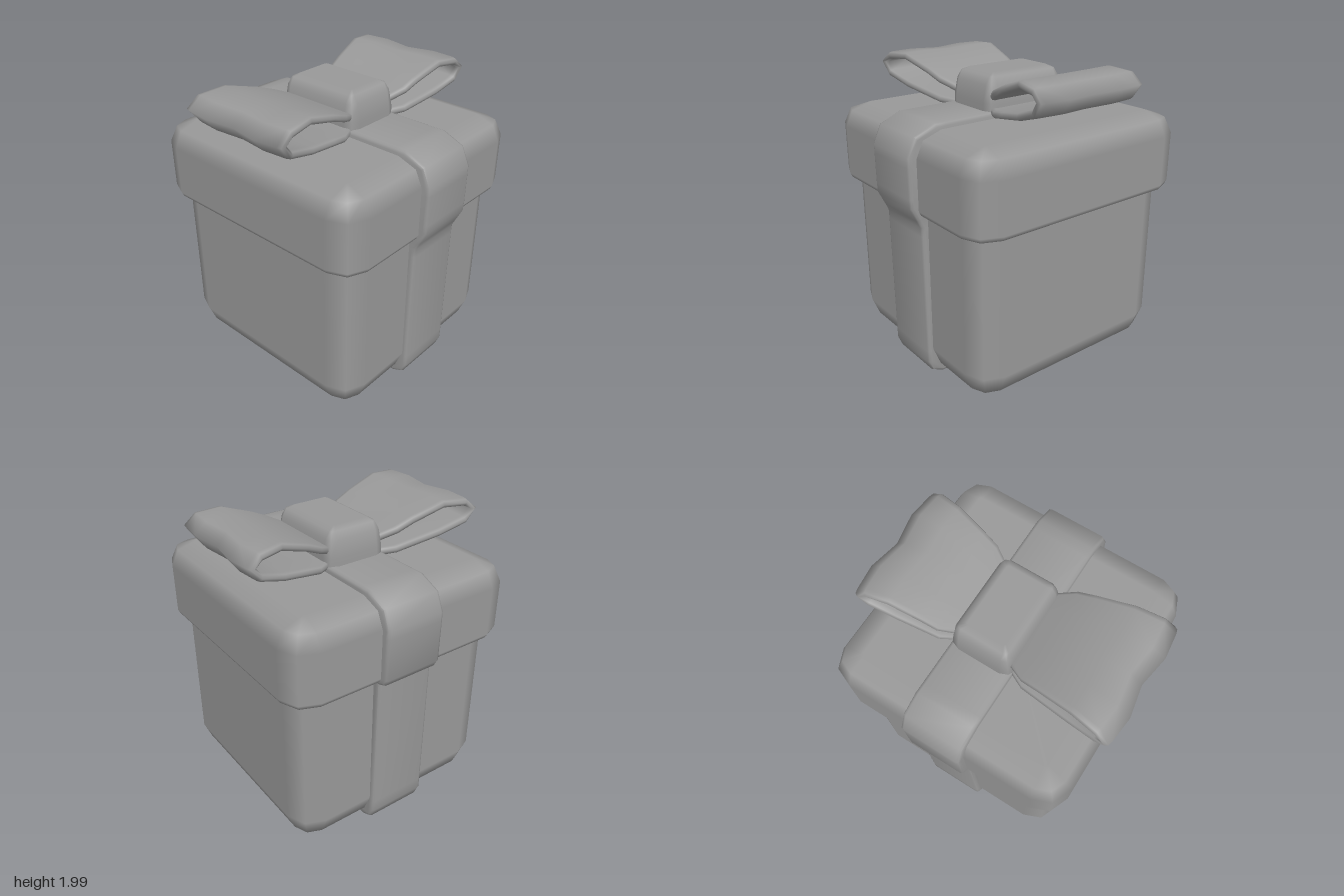
import * as THREE from 'three';
import { toCreasedNormals } from 'three/addons/utils/BufferGeometryUtils.js';

const material = new THREE.MeshStandardMaterial({ color: 0x999999 });

function indexed(positions, indices) {
  const g = new THREE.BufferGeometry();
  g.setAttribute('position', new THREE.Float32BufferAttribute(positions, 3));
  g.setIndex(indices);
  return g;
}

// Rounded block made of stacked rounded rectangles.
// Rings are [y, inset, tilt]: tilt is the upward lean of the surface in degrees
function roundedStack(halfX, halfZ, radius, rings) {
  const pos = [], normals = [], idx = [], N = 12;
  for (const [y, inset, tilt] of rings) {
    const r = Math.max(radius - inset, 0.015);
    const lean = THREE.MathUtils.degToRad(tilt);
    for (let q = 0; q < 4; q++) {
      const sx = q === 0 || q === 3 ? 1 : -1, sz = q < 2 ? -1 : 1;
      for (let s = 0; s < 3; s++) {
        const a = (q + s / 2) * Math.PI / 2, cos = Math.cos(a), sin = Math.sin(a);
        pos.push(sx * (halfX - inset - r) + r * cos, y, sz * (halfZ - inset - r) - r * sin);
        normals.push(cos * Math.cos(lean), Math.sin(lean), -sin * Math.cos(lean));
      }
    }
  }
  const last = (rings.length - 1) * N, low = rings.length * N, high = low + 1;
  pos.push(0, rings[0][0], 0, 0, rings[rings.length - 1][0], 0);
  normals.push(0, -1, 0, 0, 1, 0);
  for (let i = 0; i < N; i++) {
    const j = (i + 1) % N;
    for (let k = 0; k < last; k += N) {
      idx.push(k + i, k + j, k + N + j, k + i, k + N + j, k + N + i);
    }
    idx.push(low, j, i, high, last + i, last + j);
  }
  const g = indexed(pos, idx);
  g.setAttribute('normal', new THREE.Float32BufferAttribute(normals, 3));
  return g;
}

// Bow loop: a thick band swept out from the knot and back; points are [reach, y]
const LOOP = [[-0.1, 1.77], [0, 1.803], [0.14, 1.845], [0.3, 1.89], [0.62, 1.957], [0.87, 1.943],
  [0.97, 1.893], [0.88, 1.82], [0.6, 1.767], [0.3, 1.733], [0.14, 1.715], [0, 1.704], [-0.1, 1.7]];
const BAND = [[-1, 0], [-0.97, 0.8], [-0.9, 1], [-0.5, 1], [0, 1], [0.5, 1], [0.9, 1], [0.97, 0.8],
  [1, 0], [0.97, -0.8], [0.9, -1], [0.5, -1], [0, -1], [-0.5, -1], [-0.9, -1], [-0.97, -0.8]];
const HALF_THICK = 0.025;

function bowLoop(side, base, length, lift) {
  const pos = [], idx = [], N = BAND.length;
  LOOP.forEach(([u, y], i) => {
    const p = LOOP[Math.max(i - 1, 0)], n = LOOP[Math.min(i + 1, LOOP.length - 1)];
    const t = new THREE.Vector2((n[0] - p[0]) * length, n[1] - p[1]).normalize();
    const halfWidth = u < 0.14 ? 0.28 + u * 0.38 : 0.333 + (u - 0.14) * 0.102;
    for (const [w, s] of BAND) {
      // the tip is notched in the middle and slightly drawn in at the edges
      const a = Math.abs(w);
      const middle = Math.max(1 - 2 * a, 0), edge = Math.max(2 * a - 1, 0);
      pos.push(side * (base + u * length - t.y * s * HALF_THICK - (0.04 * middle + 0.025 * edge) * u * u),
        y + lift + t.x * s * HALF_THICK - 0.008 * middle * Math.max(u, 0),
        w * halfWidth - 0.007);
    }
    if (i === 0) return;
    for (let k = 0; k < N; k++) {
      const a = (i - 1) * N + k, b = (i - 1) * N + (k + 1) % N;
      const c = a + N, d = b + N;
      if (side > 0) idx.push(a, b, c, b, d, c);
      else idx.push(a, c, b, b, c, d);
    }
  });
  const g = indexed(pos, idx);
  g.computeVertexNormals();
  return g;
}

// Ribbon round the box: outline in [z, y], given width along x with softened edges
function ribbonGeometry() {
  const outline = [[0.62, 0.005], [0.7, 0.005], [0.775, 0.04], [0.805, 0.11], [0.806, 0.19],
    [0.814, 1.02], [0.816, 1.08], [0.84, 1.13], [0.885, 1.22], [0.888, 1.28], [0.89, 1.48], [0.89, 1.54],
    [0.835, 1.66], [0.69, 1.72], [0.62, 1.72], [-0.62, 1.72], [-0.69, 1.72], [-0.835, 1.66],
    [-0.89, 1.54], [-0.89, 1.48], [-0.885, 1.2], [-0.86, 1.155], [-0.815, 1.14],
    [-0.806, 0.19], [-0.805, 0.11], [-0.775, 0.04], [-0.7, 0.005], [-0.62, 0.005]];
  const shape = new THREE.Shape(outline.map(([z, y]) => new THREE.Vector2(-z, y)));
  const bevel = 0.022, width = 0.424;
  const g = new THREE.ExtrudeGeometry(shape, {
    depth: width - 2 * bevel, bevelThickness: bevel, bevelSize: bevel,
    bevelOffset: -bevel, bevelSegments: 2,
  });
  g.translate(0, 0, bevel - width / 2).rotateY(Math.PI / 2);
  return toCreasedNormals(g, 0.9);
}

export function createModel() {
  const group = new THREE.Group();
  const add = (name, geometry, x = 0, z = 0) => {
    const mesh = new THREE.Mesh(geometry, material);
    mesh.name = name;
    mesh.position.set(x, 0, z);
    group.add(mesh);
  };

  add('box', roundedStack(0.768, 0.772, 0.18,
    [[0.03, 0.18, -90], [0.08, 0.053, -45], [0.21, 0, 0], [1.25, 0, 0], [1.25, 0.02, 90]]), 0.035);

  add('lid', roundedStack(0.835, 0.836, 0.18,
    [[1.162, 0.045, -90], [1.17, 0.015, -50], [1.2, 0, 0], [1.53, 0, 0],
      [1.635, 0.05, 45], [1.68, 0.18, 90]]), 0.035, -0.002);

  add('ribbon', ribbonGeometry(), 0.056);

  add('knot', roundedStack(0.219, 0.314, 0.075,
    [[1.66, 0, 0], [1.77, 0.002, 4], [1.88, 0.022, 20], [1.93, 0.05, 50], [1.95, 0.09, 90]]), 0.057, -0.018);

  add('leftBowLoop', bowLoop(1, 0.25, 0.632, 0.012));
  add('rightBowLoop', bowLoop(-1, 0.145, 0.735, 0));

  return group;
}
